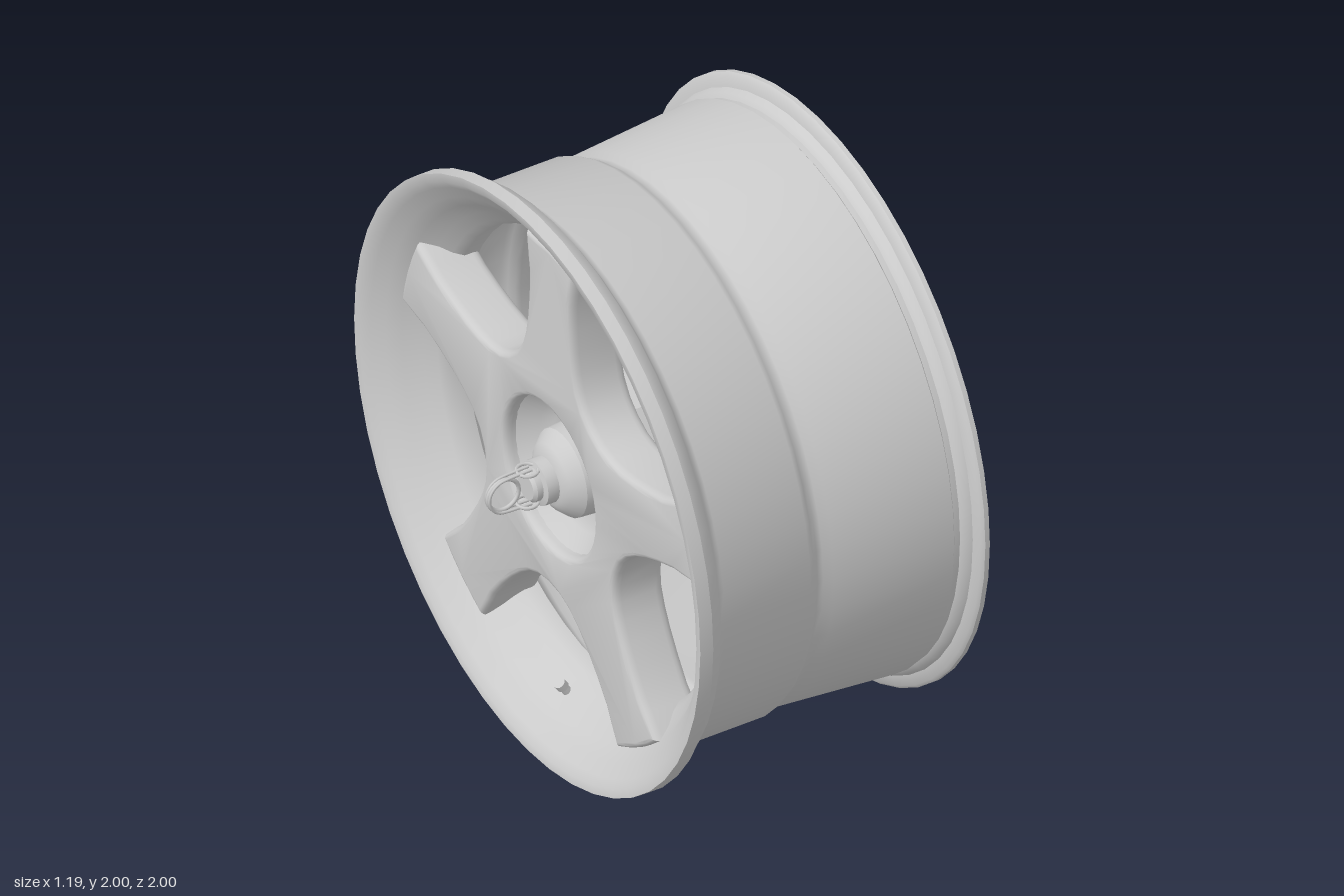
import * as THREE from 'three';
import { toCreasedNormals } from 'three/addons/utils/BufferGeometryUtils.js';

const grey = new THREE.MeshStandardMaterial({ color: 0xcccccc, side: THREE.DoubleSide });

function addMesh(parent, name, geometry) {
  const mesh = new THREE.Mesh(geometry, grey);
  mesh.name = name;
  parent.add(mesh);
  return mesh;
}

// Solid of revolution about the x axis from [x, radius] pairs.
function turned(profile, segments, crease = 0.55, start = 0) {
  const points = profile.map(([x, r]) => new THREE.Vector2(r, x));
  const geo = new THREE.LatheGeometry(points, segments, start).rotateZ(-Math.PI / 2);
  return toCreasedNormals(geo, crease);
}

// Five-armed star: the edge alternates between window arches and spoke tips.
function starShape() {
  const shape = new THREE.Shape();
  const polar = (r, a) => [r * Math.cos(a), r * Math.sin(a)];
  // Half of one window, as (sideways, outward) from the window's centre line
  const half = [
    [0.06, 0.407], [0.115, 0.43], [0.165, 0.467], [0.215, 0.515], [0.27, 0.578], [0.325, 0.65], [0.345, 0.69],
  ];
  const halfTip = 0.16;
  for (let i = 0; i < 5; i++) {
    const mid = -Math.PI / 2 + i * Math.PI * 2 / 5;
    const at = (u, v) => polar(Math.hypot(u, v), mid + Math.atan2(u, v));
    const spoke = mid + Math.PI / 5;
    const path = [
      ...half.slice().reverse().map(([u, v]) => at(-u, v)),
      at(0, 0.4),
      ...half.map(([u, v]) => at(u, v)),
      ...[-1, -0.5, 0, 0.5, 1].map(k => polar(0.865, spoke + k * halfTip)),
    ];
    path.forEach(([x, y], j) => (i + j ? shape.lineTo(x, y) : shape.moveTo(x, y)));
  }
  const hole = new THREE.Path();
  hole.absarc(0, 0, 0.26, 0, Math.PI * 2, true);
  shape.holes.push(hole);
  return shape;
}

export function createModel() {
  const model = new THREE.Group();
  model.name = 'wheel';
  const wheel = new THREE.Group();
  wheel.name = 'wheelAssembly';
  wheel.position.y = 1;
  model.add(wheel);

  // Thin barrel with both lips: outside towards +x, then back along the inside
  addMesh(wheel, 'rim', turned([
    [-0.45, 0.998], [-0.405, 1], [-0.395, 0.975], [-0.355, 0.96], [-0.34, 0.935], [-0.325, 0.912], [-0.305, 0.905],
    [0, 0.905], [0.02, 0.895], [0.04, 0.88], [0.06, 0.88], [0.09, 0.89], [0.5, 0.922], [0.505, 0.915],
    [0.525, 0.915], [0.535, 0.93], [0.555, 0.94], [0.562, 0.975], [0.572, 0.985], [0.588, 0.985],
    [0.59, 0.972], [0.583, 0.945], [0.57, 0.925], [0.55, 0.912], [0.53, 0.905], [0.5, 0.902],
    [0.09, 0.871], [0.06, 0.864], [0.04, 0.864], [0.02, 0.875], [0, 0.885], [-0.12, 0.885], [-0.145, 0.865],
    [-0.17, 0.825], [-0.185, 0.8], [-0.195, 0.773], [-0.25, 0.773], [-0.28, 0.795], [-0.31, 0.83],
    [-0.36, 0.868], [-0.395, 0.905], [-0.425, 0.945], [-0.447, 0.97], [-0.45, 0.998],
  ], 48, 0.7));

  // Spokes in one bevelled star
  const star = new THREE.ExtrudeGeometry(starShape(), {
    depth: 0.12, bevelEnabled: true, bevelThickness: 0.03, bevelSize: 0.02, bevelOffset: -0.018,
    bevelSegments: 4, curveSegments: 20,
  });
  star.rotateY(Math.PI / 2).translate(-0.345, 0, 0);
  addMesh(wheel, 'spokes', toCreasedNormals(star, 0.6));

  // Ten-sided stepped hub on the inboard side
  addMesh(wheel, 'hubBack', turned([
    [-0.21, 0.338], [-0.02, 0.335], [-0.005, 0.322], [-0.005, 0.285], [0.01, 0.27], [0.01, 0.23],
    [-0.005, 0.22], [-0.12, 0.205], [-0.12, 0],
  ], 10, 0.4, -THREE.MathUtils.degToRad(23.4)));
  addMesh(wheel, 'hubBackDisc', turned([[-0.13, 0.1], [-0.11, 0.1], [-0.105, 0.095], [-0.105, 0]], 12));

  // Outboard dish, centre cap and stub
  addMesh(wheel, 'hubDish', turned([[-0.26, 0], [-0.26, 0.17], [-0.28, 0.21], [-0.36, 0.285]], 32));
  addMesh(wheel, 'centreCap', turned([
    [-0.38, 0], [-0.38, 0.085], [-0.365, 0.11], [-0.325, 0.145], [-0.25, 0.15],
  ], 24));
  addMesh(wheel, 'centreStub', turned([
    [-0.455, 0], [-0.455, 0.045], [-0.445, 0.055], [-0.425, 0.055], [-0.42, 0.075], [-0.37, 0.075],
  ], 16));

  // Retaining clip: a pull ring held by two wires ending in small eyes
  const clip = new THREE.Group();
  clip.name = 'retainingClip';
  wheel.add(clip);
  addMesh(clip, 'pullRing', new THREE.TorusGeometry(0.055, 0.007, 8, 24)).position.x = -0.535;
  const arc = [];
  for (let i = 0; i <= 8; i++) {
    const a = Math.PI / 2 + i * Math.PI / 8;
    arc.push(new THREE.Vector3(-0.532 + 0.058 * Math.cos(a), 0.06 * Math.sin(a), 0));
  }
  const ends = [0.064, -0.064].map(y => new THREE.Vector3(-0.44, y, 0));
  const wire = new THREE.CatmullRomCurve3([ends[0], ...arc, ends[1]]);
  for (const side of [-1, 1]) {
    const strand = addMesh(clip, 'clipWire', new THREE.TubeGeometry(wire, 40, 0.005, 6));
    strand.position.z = side * 0.01;
    const eye = addMesh(clip, 'clipEye', new THREE.TorusGeometry(0.034, 0.006, 6, 16));
    eye.rotation.x = Math.PI / 2;
    eye.position.set(-0.45, side * 0.06, 0);
  }

  // Valve in the lowest window
  const valve = new THREE.Group();
  valve.name = 'valve';
  valve.position.set(-0.31, -0.828, 0);
  valve.rotation.z = 0.6;
  wheel.add(valve);
  addMesh(valve, 'valveStem', new THREE.CylinderGeometry(0.013, 0.018, 0.08, 10));
  addMesh(valve, 'valveCap', new THREE.CylinderGeometry(0.02, 0.02, 0.025, 10)).position.y = 0.035;

  return model;
}
